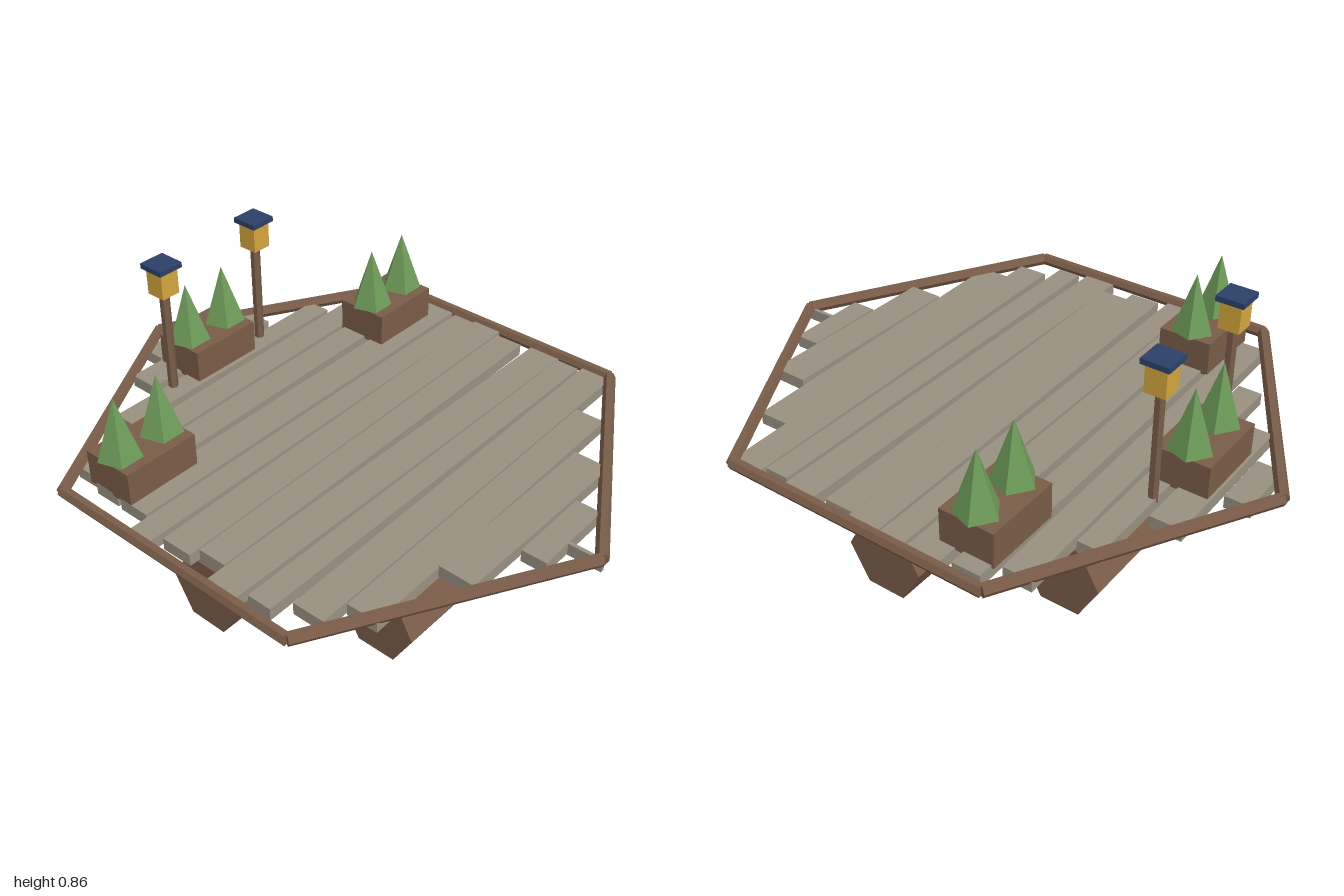
import * as THREE from 'three';

const flat = (name, color) => {
  const m = new THREE.MeshStandardMaterial({ color, flatShading: true });
  m.name = name;
  return m;
};

export function createModel() {
  const group = new THREE.Group();
  group.name = 'floatingDeck';

  const wood = flat('brown wood', 0x795c48);
  const plankMat = flat('weathered plank', 0x989080);
  const leaf = flat('leaf green', 0x6d9a58);
  const glow = flat('lantern yellow', 0xd4a53c);
  const navy = flat('navy roof', 0x2b4168);

  const add = (name, geometry, material, x, y, z, parent = group) => {
    const mesh = new THREE.Mesh(geometry, material);
    mesh.name = name;
    mesh.position.set(x, y, z);
    parent.add(mesh);
    return mesh;
  };
  const box = (w, h, d) => new THREE.BoxGeometry(w, h, d);

  // Six-sided floats lying along x, in rows of two, three and two
  const floatGeo = new THREE.CylinderGeometry(0.1443, 0.1443, 0.375, 6).rotateZ(Math.PI / 2).scale(1, 1, 0.97);
  const rows = [[-0.4825, [-0.263, 0.263]], [0, [-0.525, 0, 0.525]], [0.4825, [-0.263, 0.263]]];
  for (const [z, xs] of rows) {
    for (const x of xs) add('float', floatGeo, wood, x, 0.125, z);
  }

  // Uneven deck planks: centre z, width, left end x, right end x, tilt
  const planks = [
    [-0.875, 0.09, -0.127, 0.09, 0],
    [-0.755, 0.11, -0.275, 0.31, 0],
    [-0.630, 0.085, -0.47, 0.525, 0],
    [-0.515, 0.1, -0.735, 0.735, 0.018],
    [-0.395, 0.1, -0.755, 0.81, 0.014],
    [-0.262, 0.12, -0.755, 0.83, 0.004],
    [-0.145, 0.09, -0.835, 0.83, 0],
    [-0.028, 0.115, -0.795, 0.83, 0.014],
    [0.085, 0.105, -0.755, 0.81, 0.013],
    [0.217, 0.12, -0.835, 0.83, -0.01],
    [0.335, 0.088, -0.8, 0.81, 0],
    [0.455, 0.115, -0.735, 0.83, 0.014],
    [0.572, 0.11, -0.635, 0.6, 0.015],
    [0.700, 0.13, -0.345, 0.385, -0.012],
    [0.820, 0.09, -0.125, 0.18, 0],
    [0.925, 0.12, -0.007, 0.007, 0],
  ];
  planks.forEach(([z, w, x0, x1, tilt], i) => {
    const y = 0.346 + ((i * 2) % 3 - 1) * 0.003;
    add('plank', box(x1 - x0, 0.044, w), plankMat, (x0 + x1) / 2, y, z).rotation.y = tilt;
  });

  // Hexagonal rim of six-sided beams, with corners at the front and back
  const R = 0.979;
  const beamGeo = new THREE.CylinderGeometry(0.022, 0.022, R, 6).rotateZ(Math.PI / 2);
  for (let i = 0; i < 6; i++) {
    const a = Math.PI / 6 + i * Math.PI / 3;
    const d = R * Math.cos(Math.PI / 6);
    add('rimBeam', beamGeo, wood, Math.sin(a) * d, 0.365, Math.cos(a) * d).rotation.y = a;
  }

  // Planter boxes with two pointed shrubs each
  const shrubGeo = new THREE.ConeGeometry(0.076, 0.218, 5).rotateY(Math.PI);
  for (const [x, z] of [[-0.613, -0.365], [0, -0.703], [0.613, -0.365]]) {
    const planter = new THREE.Group();
    planter.name = 'planter';
    planter.position.set(x, 0, z);
    group.add(planter);
    add('planterBox', box(0.283, 0.125, 0.195), wood, 0, 0.4235, 0, planter);
    for (const s of [-1, 1]) add('shrub', shrubGeo, leaf, s * 0.087, 0.595, 0, planter);
  }

  // Pair of lantern posts
  for (const s of [-1, 1]) {
    const lamp = new THREE.Group();
    lamp.name = 'lanternPost';
    lamp.position.set(s * 0.219, 0, -0.658);
    group.add(lamp);
    add('post', new THREE.CylinderGeometry(0.018, 0.018, 0.4, 6), wood, 0, 0.55, 0, lamp);
    add('lantern', box(0.073, 0.097, 0.073), glow, 0, 0.7975, 0, lamp);
    add('lanternRoof', box(0.097, 0.019, 0.097), navy, 0, 0.8555, 0, lamp);
  }

  return group;
}
